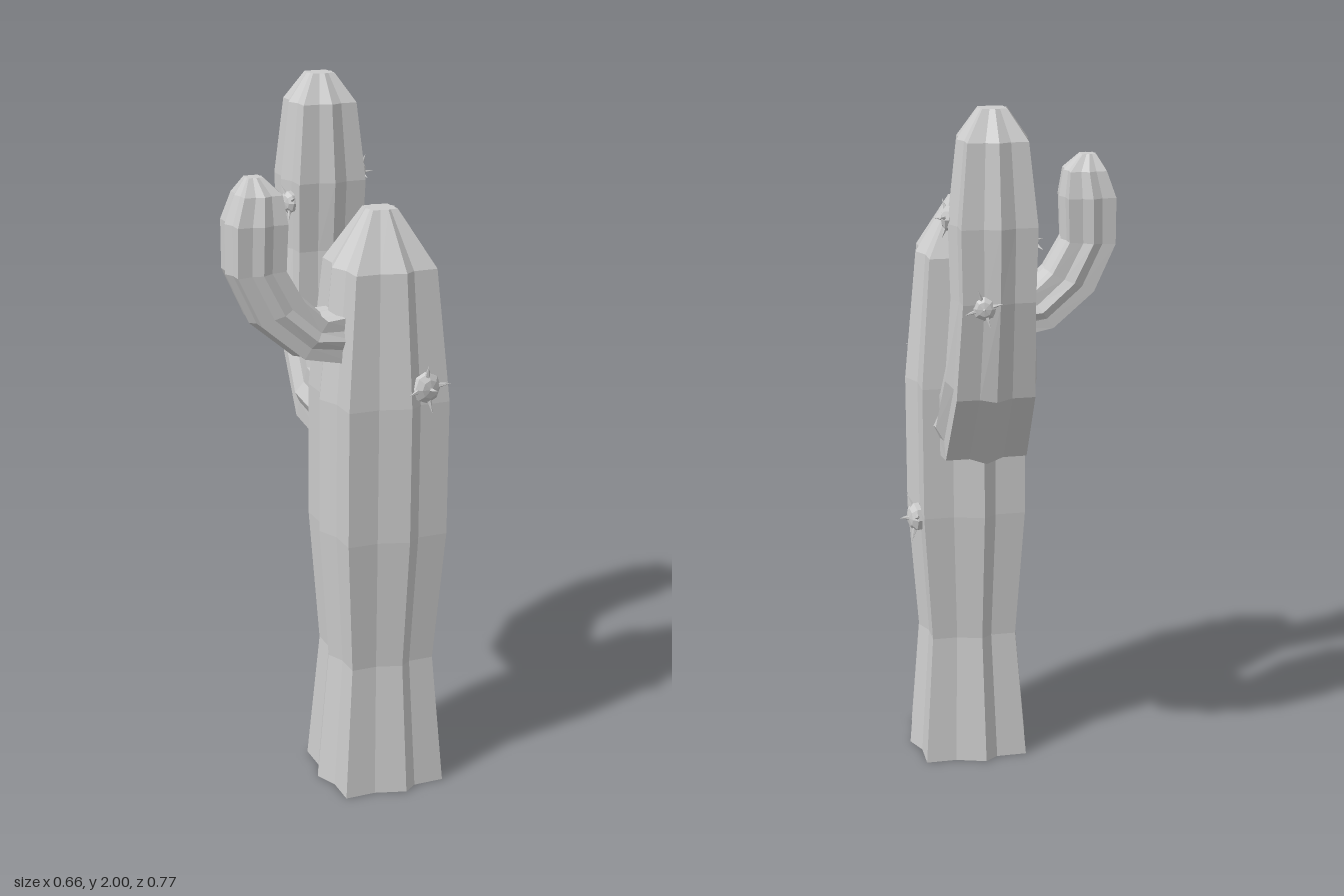
import * as THREE from 'three';

const material = new THREE.MeshStandardMaterial({ color: 0xcccccc, flatShading: true, side: THREE.DoubleSide });

// Ribbed cross-section: eight ridges with shallow valleys between, square-ish overall
function ribbedSection(skew) {
  const points = [];
  for (let i = 0; i < 16; i++) {
    const a = (i / 16) * Math.PI * 2;
    const r = i % 2 ? 0.92 : i % 4 ? 1.2 : 1;
    points.push([Math.cos(a) * r, Math.sin(a) * r]);
  }
  points[4][0] -= skew;
  points[12][0] += skew;
  return points;
}

// Loft a limb that grows along `out` and bends upward.
// Each row: outer reach, outer height, inner reach, inner height, half width
function limb(name, base, out, rows, skew = 0) {
  const section = ribbedSection(skew);
  const n = section.length;
  const side = new THREE.Vector3().crossVectors(out, new THREE.Vector3(0, 1, 0));
  const positions = [], index = [];
  rows.forEach(([oh, oy, ih, iy, w]) => {
    for (const [s, t] of section) {
      const p = base.clone()
        .addScaledVector(out, (oh + ih) / 2 + t * (oh - ih) / 2)
        .addScaledVector(side, s * w);
      p.y = (oy + iy) / 2 + t * (oy - iy) / 2;
      positions.push(p.x, p.y, p.z);
    }
  });
  for (let r = 0; r < rows.length - 1; r++) {
    for (let i = 0; i < n; i++) {
      const a = r * n + i, b = r * n + (i + 1) % n;
      index.push(a, b, b + n, a, b + n, a + n);
    }
  }
  // flat tip
  const [oh, oy, ih, iy] = rows[rows.length - 1];
  const tip = base.clone().addScaledVector(out, (oh + ih) / 2);
  positions.push(tip.x, (oy + iy) / 2, tip.z);
  const last = (rows.length - 1) * n;
  for (let i = 0; i < n; i++) index.push(last + i, last + (i + 1) % n, rows.length * n);

  const geometry = new THREE.BufferGeometry();
  geometry.setAttribute('position', new THREE.Float32BufferAttribute(positions, 3));
  geometry.setIndex(index);
  const flat = geometry.toNonIndexed();
  flat.computeVertexNormals();
  const mesh = new THREE.Mesh(flat, material);
  mesh.name = name;
  return mesh;
}

// Flattened bud with thin spines, facing +z before it is turned to `normal`
function spineBud(name, position, normal, size, spin) {
  const bud = new THREE.Group();
  bud.name = name;
  const pad = new THREE.Mesh(new THREE.SphereGeometry(1, 8, 5), material);
  pad.name = 'budPad';
  pad.rotation.x = Math.PI / 2;
  pad.scale.set(0.045, 0.025, 0.045);
  bud.add(pad);
  const addSpine = (x, y, z, dir) => {
    const spine = new THREE.Mesh(new THREE.ConeGeometry(0.009, 0.045, 5), material);
    spine.name = 'spine';
    spine.position.set(x, y, z);
    spine.quaternion.setFromUnitVectors(new THREE.Vector3(0, 1, 0), dir.normalize());
    bud.add(spine);
  };
  for (let i = 0; i < 4; i++) {
    const a = spin + (i * Math.PI) / 2;
    const c = Math.cos(a), s = Math.sin(a);
    addSpine(c * 0.05, s * 0.05, 0.014, new THREE.Vector3(c, s, 0.35));
  }
  addSpine(0, 0, 0.03, new THREE.Vector3(0, 0.1, 1));
  bud.position.set(...position);
  bud.lookAt(new THREE.Vector3(...position).add(new THREE.Vector3(...normal)));
  bud.scale.setScalar(size);
  return bud;
}

export function createModel() {
  const cactus = new THREE.Group();
  cactus.name = 'cactus';

  // Trunk: height and ridge radius
  const trunkRows = [
    [0, 0.18], [0.39, 0.147], [0.78, 0.176], [1.17, 0.176], [1.54, 0.14], [1.695, 0.043],
  ].map(([y, r]) => [r, y, -r, y, r]);
  const back = new THREE.Vector3(0, 0, -1);
  cactus.add(limb('trunk', new THREE.Vector3(0.125, 0, 0.18), back, trunkRows, 0.14));

  // Large arm growing from the back
  cactus.add(limb('backArm', new THREE.Vector3(0.125, 0, 0), back, [
    [-0.06, 0.95, -0.06, 1.16, 0.115],
    [0.16, 1.0, 0.06, 1.2, 0.135],
    [0.31, 1.22, 0.14, 1.31, 0.127],
    [0.365, 1.5, 0.15, 1.5, 0.115],
    [0.375, 1.7, 0.135, 1.7, 0.12],
    [0.35, 1.92, 0.16, 1.92, 0.095],
    [0.295, 2.0, 0.218, 2.0, 0.039],
  ]));

  // Small arm growing from the side
  cactus.add(limb('sideArm', new THREE.Vector3(0, 0, 0.18), new THREE.Vector3(-1, 0, 0), [
    [-0.04, 1.265, -0.04, 1.43, 0.08],
    [0.13, 1.305, 0.05, 1.42, 0.09],
    [0.255, 1.41, 0.11, 1.475, 0.085],
    [0.32, 1.55, 0.16, 1.56, 0.08],
    [0.32, 1.685, 0.155, 1.685, 0.083],
    [0.292, 1.76, 0.167, 1.76, 0.064],
    [0.262, 1.805, 0.215, 1.805, 0.024],
  ]));

  // Spiny buds on trunk and back arm
  [
    ['trunkFrontBud', [0.2, 1.22, 0.335], [0.2, 0, 1], 1, 0.1],
    ['trunkSideBud', [0.285, 0.76, 0.115], [1, 0, -0.2], 1, 0.3],
    ['armLeftBud', [0.24, 1.71, -0.23], [1, 0, 0.25], 0.75, 0.2],
    ['armRightBud', [0.015, 1.64, -0.215], [-1, 0, 0.25], 0.75, 0.4],
    ['armBackBud', [0.165, 1.49, -0.345], [0.2, 0, -1], 0.75, 0.3],
  ].forEach((b) => cactus.add(spineBud(...b)));

  return cactus;
}
